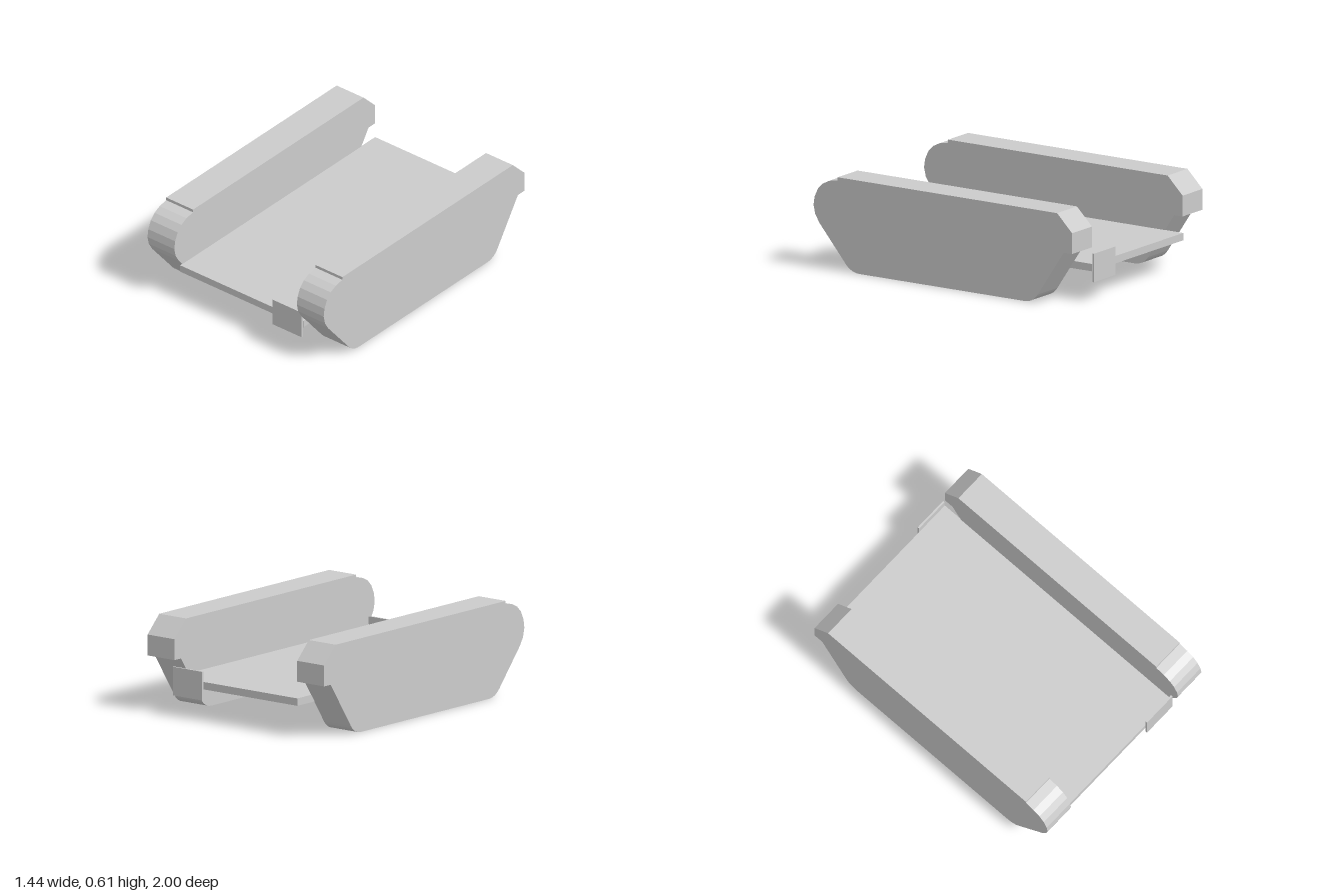
import * as THREE from 'three';

const material = new THREE.MeshStandardMaterial({ color: 0xcccccc, flatShading: true });

function box(name, [x0, x1], [y0, y1], [z0, z1]) {
  const mesh = new THREE.Mesh(new THREE.BoxGeometry(x1 - x0, y1 - y0, z1 - z0), material);
  mesh.position.set((x0 + x1) / 2, (y0 + y1) / 2, (z0 + z1) / 2);
  mesh.name = name;
  return mesh;
}

// Side outline of a track pod, drawn as (z, y)
function trackGeometry(width) {
  const outline = new THREE.Shape();
  outline.moveTo(-0.87, 0.605);
  outline.lineTo(-0.985, 0.49); // chamfered rear
  outline.lineTo(-0.985, 0.355);
  outline.lineTo(-0.92, 0.355);
  outline.lineTo(-0.72, 0.055);
  outline.quadraticCurveTo(-0.685, 0.002, -0.62, 0);
  outline.lineTo(0.65, 0);
  outline.quadraticCurveTo(0.71, 0.002, 0.75, 0.047);
  // sloped nose, then the faceted round front
  const nose = [[0.955, 0.29], [0.987, 0.343], [1, 0.4], [0.992, 0.455],
    [0.967, 0.51], [0.93, 0.548], [0.88, 0.573], [0.815, 0.585]];
  nose.forEach(([z, y]) => outline.lineTo(z, y));
  outline.lineTo(0.815, 0.605); // small step up to the flat top
  outline.closePath();
  const geometry = new THREE.ExtrudeGeometry(outline, { depth: width, bevelEnabled: false, curveSegments: 6 });
  return geometry.translate(0, 0, -width / 2).rotateY(-Math.PI / 2);
}

export function createModel() {
  const model = new THREE.Group();
  model.name = 'trackedChassis';

  // Mirrored track pods
  const track = trackGeometry(0.22);
  for (const side of [1, -1]) {
    const mesh = new THREE.Mesh(track, material);
    mesh.position.x = side * 0.612;
    mesh.name = side > 0 ? 'leftTrack' : 'rightTrack';
    model.add(mesh);
  }

  // Deck slab between the tracks
  model.add(box('deck', [-0.505, 0.505], [0.2, 0.248], [-0.988, 0.94]));

  // Thin plates on both ends of the deck
  model.add(box('frontPlate', [0.263, 0.502], [0.13, 0.315], [0.94, 0.953]));
  model.add(box('rearPlate', [0.263, 0.502], [0.13, 0.315], [-1, -0.988]));

  return model;
}
